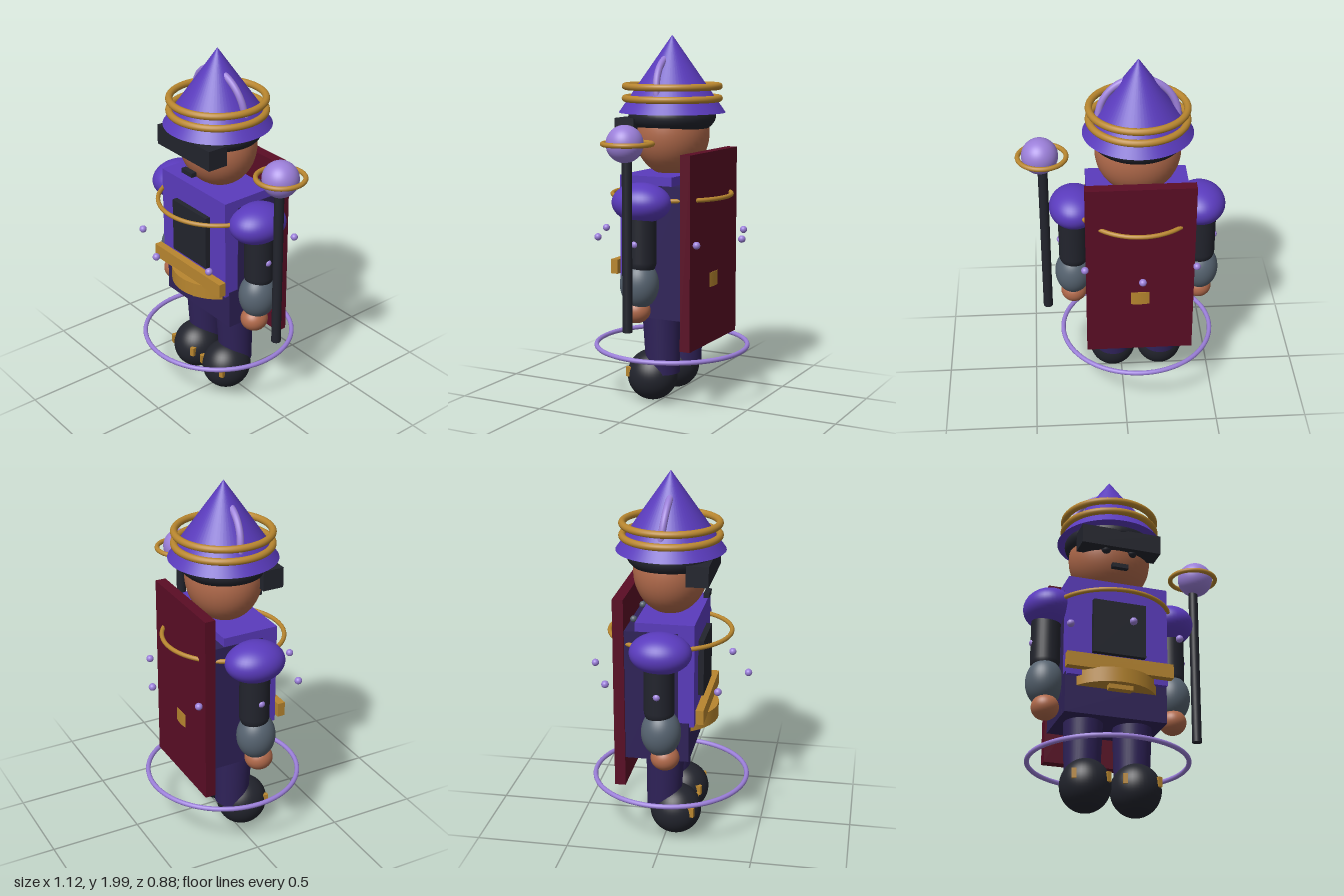
import * as THREE from 'three';

const mat = (name, color) => {
  const m = new THREE.MeshStandardMaterial({ color });
  m.name = name;
  return m;
};

export function createModel() {
  const purple = mat('royal purple', 0x5a3bbd);
  const indigo = mat('dark indigo', 0x2f2259);
  const lilac = mat('lilac', 0x9b7fd9);
  const gold = mat('gold', 0xb8862f);
  const maroon = mat('maroon', 0x5a0d25);
  const black = mat('charcoal', 0x22242d);
  const skin = mat('skin', 0xb16a4b);
  const steel = mat('steel grey', 0x566370);

  const model = new THREE.Group();
  model.name = 'wizardGuard';
  // The figure stands left of centre; the staff fills the other side
  const body = new THREE.Group();
  body.name = 'figure';
  body.position.x = -0.086;
  model.add(body);

  const add = (name, geo, material, x, y, z, parent = body) => {
    const mesh = new THREE.Mesh(geo, material);
    mesh.name = name;
    mesh.position.set(x, y, z);
    parent.add(mesh);
    return mesh;
  };
  // Box given by its y and z limits, centred on x
  const slab = (name, material, w, y0, y1, z0, z1, x = 0) =>
    add(name, new THREE.BoxGeometry(w, y1 - y0, z1 - z0), material, x, (y0 + y1) / 2, (z0 + z1) / 2);
  const ball = (name, material, rx, ry, rz, x, y, z, parent) => {
    const geo = new THREE.SphereGeometry(1, 40, 28).scale(rx, ry, rz);
    return add(name, geo, material, x, y, z, parent);
  };
  const hoop = (name, material, r, tube, x, y, z, parent) => {
    const geo = new THREE.TorusGeometry(r, tube, 14, 72).rotateX(Math.PI / 2);
    return add(name, geo, material, x, y, z, parent);
  };

  // Torso, coat and skirt
  slab('torso', purple, 0.55, 0.7, 1.263, -0.14, 0.17);
  slab('coat', indigo, 0.558, 0.5, 1.215, -0.197, 0.085);
  slab('skirt', indigo, 0.556, 0.5, 0.72, -0.197, 0.143);
  slab('chestPlate', black, 0.29, 0.83, 1.135, 0.165, 0.2);
  slab('cape', maroon, 0.58, 0.34, 1.385, -0.255, -0.197);
  hoop('collarRing', gold, 0.326, 0.012, 0, 1.142, 0);

  // Belt
  slab('beltPlate', gold, 0.58, 0.725, 0.803, 0.18, 0.222);
  slab('buckle', gold, 0.13, 0.625, 0.8, 0.18, 0.222);
  add('waistBand', new THREE.CylinderGeometry(0.26, 0.26, 0.08, 64), gold, 0, 0.69, 0);

  // Head
  ball('head', skin, 0.227, 0.235, 0.198, 0, 1.475, 0);
  ball('hair', black, 0.25, 0.115, 0.235, 0, 1.565, 0);
  slab('visor', black, 0.444, 1.45, 1.56, 0.115, 0.232);
  slab('mouth', black, 0.09, 1.34, 1.365, 0.18, 0.21);

  // Pointed hat with rings and crest
  add('hat', new THREE.ConeGeometry(0.29, 0.415, 64), purple, 0, 1.7925, 0);
  hoop('hatRingUpper', gold, 0.254, 0.019, 0, 1.726, 0);
  hoop('hatRingLower', gold, 0.255, 0.019, 0, 1.661, 0);
  const crest = add('hatCrest', new THREE.TorusGeometry(0.205, 0.019, 14, 64, Math.PI), lilac, 0, 1.68, -0.015);
  crest.rotation.x = 0.12;

  // Mirrored parts
  for (const s of [-1, 1]) {
    const side = s > 0 ? 'left' : 'right';
    ball(side + 'Eye', black, 0.026, 0.026, 0.026, s * 0.073, 1.452, 0.182);
    ball(side + 'CapeClasp', steel, 0.018, 0.018, 0.018, s * 0.12, 1.228, -0.178);

    ball(side + 'Shoulder', purple, 0.136, 0.106, 0.162, s * 0.34, 1.13, 0.005);
    add(side + 'UpperArm', new THREE.CapsuleGeometry(0.08, 0.24, 12, 32), black, s * 0.35, 0.94, 0);
    ball(side + 'Forearm', steel, 0.1, 0.13, 0.105, s * 0.354, 0.697, 0.01);
    ball(side + 'Hand', skin, 0.073, 0.068, 0.076, s * 0.352, 0.553, 0.03);

    const leg = add(side + 'Leg', new THREE.CylinderGeometry(0.107, 0.092, 0.4, 40), indigo, s * 0.135, 0.37, -0.01);
    leg.rotation.x = 0.03;
    ball(side + 'Boot', black, 0.133, 0.14, 0.14, s * 0.135, 0.147, 0.05);
    for (const t of [-1, 1]) {
      const stud = slab(side + 'BootStud', gold, 0.024, 0.145, 0.197, 0.12, 0.165, s * 0.135 + t * 0.087);
      stud.rotation.y = t * 0.25;
    }
  }

  // Floating ring and orbiting beads
  hoop('floorRing', lilac, 0.42, 0.013, 0, 0.297, 0);
  for (let i = 0; i < 8; i++) {
    const a = (i * Math.PI) / 4;
    ball('orbitBead', lilac, 0.02, 0.02, 0.02, 0.42 * Math.cos(a), 0.92, 0.42 * Math.sin(a));
  }

  // Staff
  const staff = new THREE.Group();
  staff.name = 'staff';
  model.add(staff);
  add('staffPole', new THREE.CylinderGeometry(0.026, 0.026, 0.93, 24), black, 0.415, 0.935, 0, staff);
  ball('staffOrb', lilac, 0.097, 0.097, 0.097, 0.427, 1.452, 0.005, staff);
  hoop('staffRing', gold, 0.127, 0.013, 0.416, 1.452, -0.005, staff);

  return model;
}
